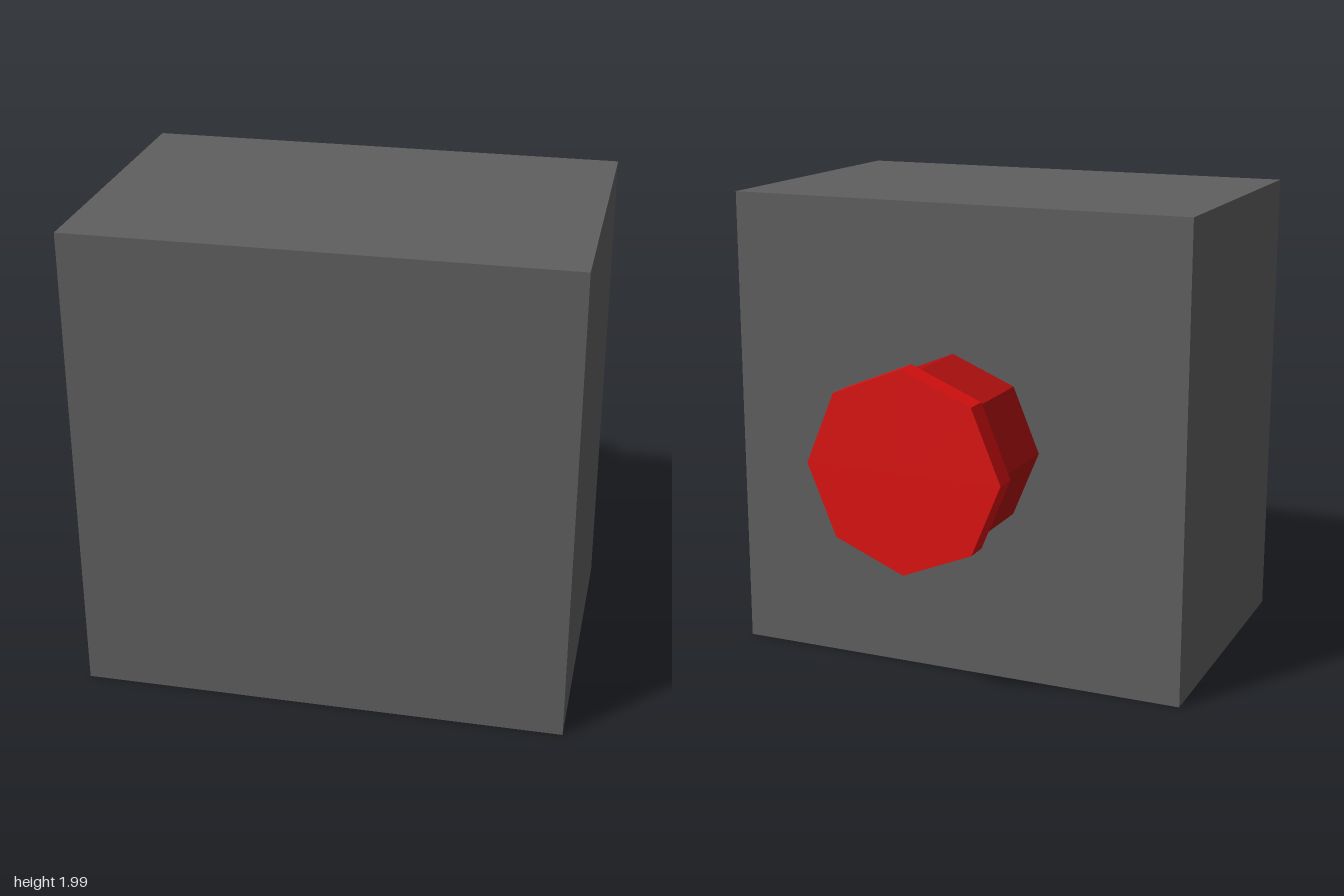
import * as THREE from 'three';

const material = (name, color) => {
  const m = new THREE.MeshStandardMaterial({ color, flatShading: true });
  m.name = name;
  return m;
};

export function createModel() {
  const model = new THREE.Group();
  const grey = material('dark grey', 0x5f5f5f);
  const red = material('red', 0xb31010);
  const brightRed = material('bright red', 0xdd1010);

  const add = (name, geometry, mat, y, z) => {
    const mesh = new THREE.Mesh(geometry, mat);
    mesh.name = name;
    mesh.position.set(0, y, z);
    model.add(mesh);
  };

  // Eight-sided prism lying along z, with corners straight up and sideways
  const octagon = (radius, z0, z1) =>
    new THREE.CylinderGeometry(radius, radius, z1 - z0, 8)
      .rotateX(Math.PI / 2)
      .translate(0, 0, (z0 + z1) / 2);

  // Main block
  add('block', new THREE.BoxGeometry(2, 1.99, 1.31), grey, 0.995, 0.24);

  // Knob on the back: stem and wider cap
  add('knobStem', octagon(0.38, -0.8, -0.415), red, 0.998, 0);
  add('knobCap', octagon(0.417, -0.895, -0.798), brightRed, 0.998, 0);

  return model;
}
